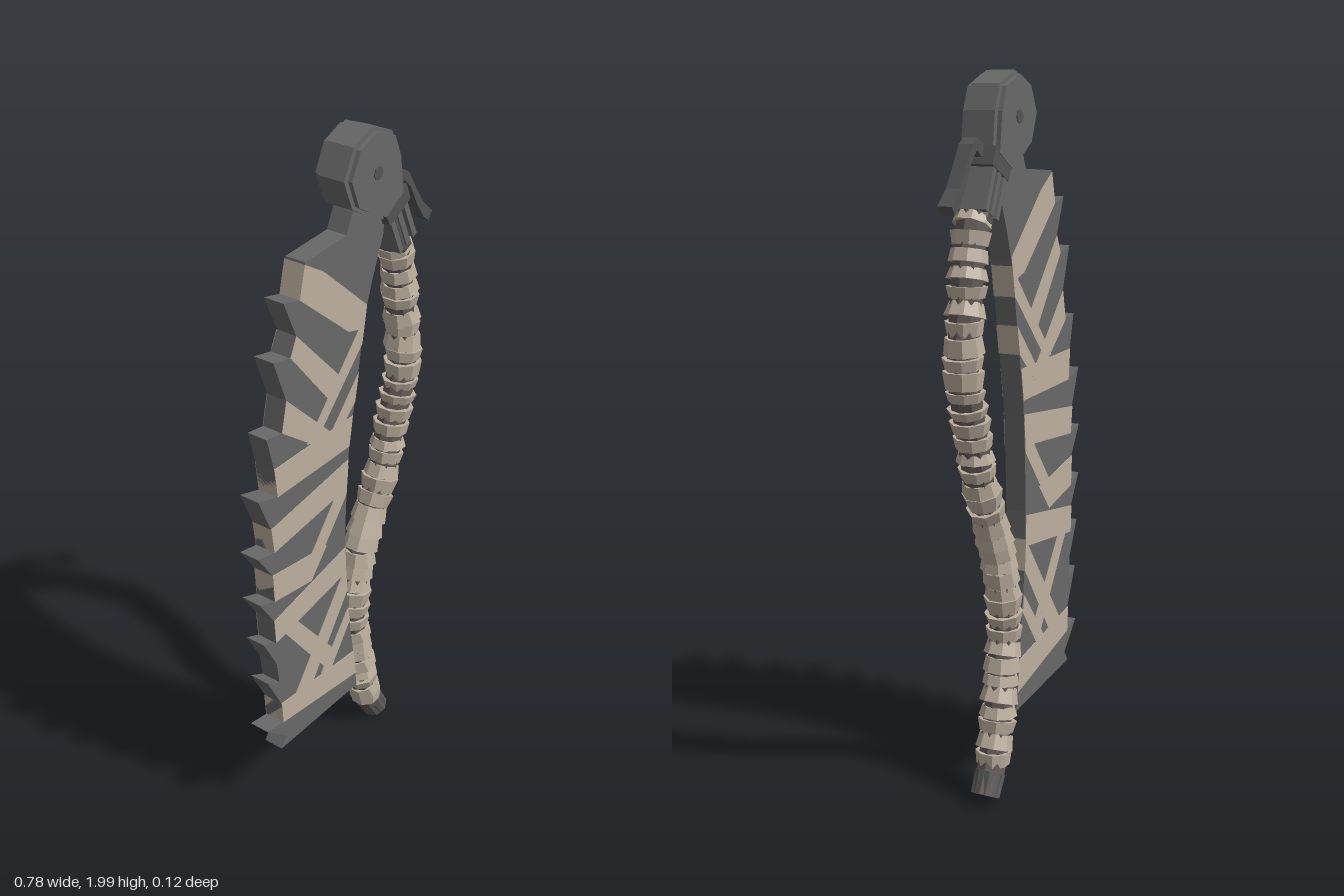
import * as THREE from 'three';

const mat = (color) => new THREE.MeshStandardMaterial({ color, flatShading: true });
const steel = mat(0x686868), darkSteel = mat(0x545454), cloth = mat(0xbcaf9e), leather = mat(0x635a58);

const V = (p) => new THREE.Vector2(p[0], p[1]);

// Flat plate cut from an outline, centred on z = 0
function plate(name, points, halfDepth, material) {
  const geo = new THREE.ExtrudeGeometry(new THREE.Shape(points.map(V)), {
    depth: halfDepth * 2, bevelEnabled: false,
  });
  geo.translate(0, 0, -halfDepth);
  const mesh = new THREE.Mesh(geo, material);
  mesh.name = name;
  return mesh;
}

// Eight-sided segment whose top faces away from the given direction
function segment(name, center, dir, rTop, rBottom, length, material, tilt = 0) {
  const geo = new THREE.CylinderGeometry(rTop, rBottom, length, 8).rotateY(Math.PI / 8);
  const mesh = new THREE.Mesh(geo, material);
  mesh.name = name;
  mesh.position.set(center.x, center.y, 0);
  mesh.rotation.z = Math.atan2(dir.x, -dir.y) + tilt;
  return mesh;
}

let seed = 11;
const rand = () => (seed = (seed * 16807) % 2147483647) / 2147483647;

// Each tooth: upper notch, tip, lower notch
const teeth = [
  [[-.20, 1.65], [-.26, 1.665], [-.215, 1.56]],
  [[-.24, 1.51], [-.305, 1.525], [-.26, 1.40]],
  [[-.28, 1.315], [-.34, 1.325], [-.315, 1.225]],
  [[-.305, 1.135], [-.38, 1.16], [-.335, 1.05]],
  [[-.325, .97], [-.39, .985], [-.335, .90]],
  [[-.33, .81], [-.39, .835], [-.335, .745]],
  [[-.33, .665], [-.38, .69], [-.33, .59]],
  [[-.32, .515], [-.37, .545], [-.315, .43]],
  [[-.31, .355], [-.38, .37], [-.295, .29]],
];

function buildBlade() {
  const g = new THREE.Group();
  g.name = 'blade';
  const back = new THREE.SplineCurve([
    [.05, .235], [.03, .39], [0, .60], [-.012, .81], [0, 1.07], [.015, 1.18],
    [.045, 1.34], [.08, 1.52], [.15, 1.70],
  ].map(V)).getPoints(24).map((p) => [p.x, p.y]);
  g.add(plate('sawBlade', [
    [.15, 1.8], [.03, 1.83], [-.01, 1.75], [-.175, 1.74], ...teeth.flat(), [-.32, .257], ...back,
  ], .03, steel));

  // Cloth strips wound between the teeth and across the blade
  const gap = (i) => [teeth[i][2], teeth[i + 1][0]];
  const strips = [
    [[-.178, 1.735], teeth[0][0], [0, 1.48], [.068, 1.46], [.08, 1.525], [-.105, 1.69]],
    [...gap(0), [-.07, 1.30], [-.03, 1.36]],
    [[.075, 1.50], [.06, 1.42], [-.14, 1.22], [-.18, 1.23]],
    [...gap(1), [-.12, 1.19], [-.08, 1.22]],
    [...gap(2), [.005, 1.13], [.02, 1.22]],
    [[.045, 1.34], [.03, 1.26], [-.07, 1.17], [-.11, 1.18]],
    [...gap(3), [-.008, 1.0], [0, 1.09]],
    [[0, 1.07], [-.008, .98], [-.16, .80], [-.21, .82]],
    [...gap(4), [-.17, .78], [-.10, .86]],
    [...gap(5), [-.01, .71], [-.012, .80]],
    [[-.31, .70], [-.25, .70], [-.05, .44], [-.11, .42]],
    [[-.01, .73], [-.003, .64], [-.17, .41], [-.25, .42]],
    [[0, .57], [.01, .52], [-.08, .40], [-.13, .41]],
    [...gap(7), [.043, .29], [.03, .385]],
  ];
  strips.forEach((s, i) => g.add(plate('clothStrip', s, .0312 + i * .0001, cloth)));
  return g;
}

function buildHead() {
  const g = new THREE.Group();
  g.name = 'hingeHead';
  const outline = [
    [.08, 2.0], [.005, 1.97], [-.034, 1.896], [0, 1.815], [.05, 1.785],
    [.13, 1.745], [.21, 1.79], [.195, 1.9], [.165, 1.966],
  ];
  g.add(plate('hingeCore', outline, .04, steel));

  // Side cheeks and their pivot
  const cheek = outline.map(([x, y]) => [.085 + (x - .085) * .9, 1.88 + (y - 1.88) * .92]);
  for (const s of [-1, 1]) {
    const m = plate('cheekPlate', cheek, .006, steel);
    m.position.z = s * .049;
    g.add(m);
  }
  const pivot = new THREE.Mesh(new THREE.CylinderGeometry(.018, .018, .116, 8), darkSteel);
  pivot.name = 'pivotPin';
  pivot.rotation.x = Math.PI / 2;
  pivot.position.set(.085, 1.885, 0);
  g.add(pivot);

  // Collar and ribbed socket leading into the handle
  g.add(plate('collar', [[.125, 1.765], [.145, 1.725], [.235, 1.77], [.215, 1.815]], .053, darkSteel));
  const dir = new THREE.Vector2(.06, -.13).normalize();
  const socket = segment('socket', new THREE.Vector2(.209, 1.697), dir, .042, .042, .15, darkSteel);
  socket.scale.z = 1.2;
  g.add(socket);
  for (const s of [-1, 0, 1]) {
    const rib = new THREE.Mesh(new THREE.BoxGeometry(.017, .12, .102), steel);
    rib.name = 'socketRib';
    rib.position.set(.209 + s * .029, 1.70 + s * .013, 0);
    rib.rotation.z = socket.rotation.z;
    g.add(rib);
  }

  g.add(plate('lever', [
    [.16, 1.79], [.18, 1.75], [.21, 1.775], [.255, 1.805], [.285, 1.775], [.315, 1.72], [.35, 1.67],
    [.375, 1.652], [.39, 1.675], [.345, 1.715], [.31, 1.765], [.275, 1.82], [.25, 1.835], [.215, 1.815],
  ], .02, darkSteel));
  return g;
}

function buildHandle() {
  const g = new THREE.Group();
  g.name = 'handle';
  const path = new THREE.CatmullRomCurve3([
    [.235, 1.65], [.262, 1.56], [.278, 1.45], [.294, 1.34], [.30, 1.25], [.275, 1.15], [.245, 1.06],
    [.21, .94], [.155, .83], [.105, .72], [.075, .60], [.065, .49], [.085, .36], [.115, .21],
    [.145, .11], [.19, .034],
  ].map(([x, y]) => new THREE.Vector3(x, y, 0)));
  const core = new THREE.Mesh(new THREE.TubeGeometry(path, 48, .043, 8), leather);
  core.name = 'handleCore';
  g.add(core);

  // Uneven wrapped bands with flared edges
  const count = 36;
  for (let i = 0; i < count; i++) {
    const t = .012 + (i / count) * .95;
    const wide = .051 + rand() * .005, narrow = .044 + rand() * .004;
    const flareUp = rand() > .4;
    const band = segment('handleWrap', path.getPointAt(t), path.getTangentAt(t),
      flareUp ? wide : narrow, flareUp ? narrow : wide, .025 + rand() * .022, cloth, (rand() - .5) * .5);
    g.add(band);
  }

  // End cap
  g.add(segment('pommel', new THREE.Vector2(.174, .062), new THREE.Vector2(.04, -.07), .044, .041, .066, darkSteel));
  return g;
}

export function createModel() {
  const model = new THREE.Group();
  model.name = 'foldingSaw';
  model.add(buildBlade(), buildHead(), buildHandle());
  return model;
}
